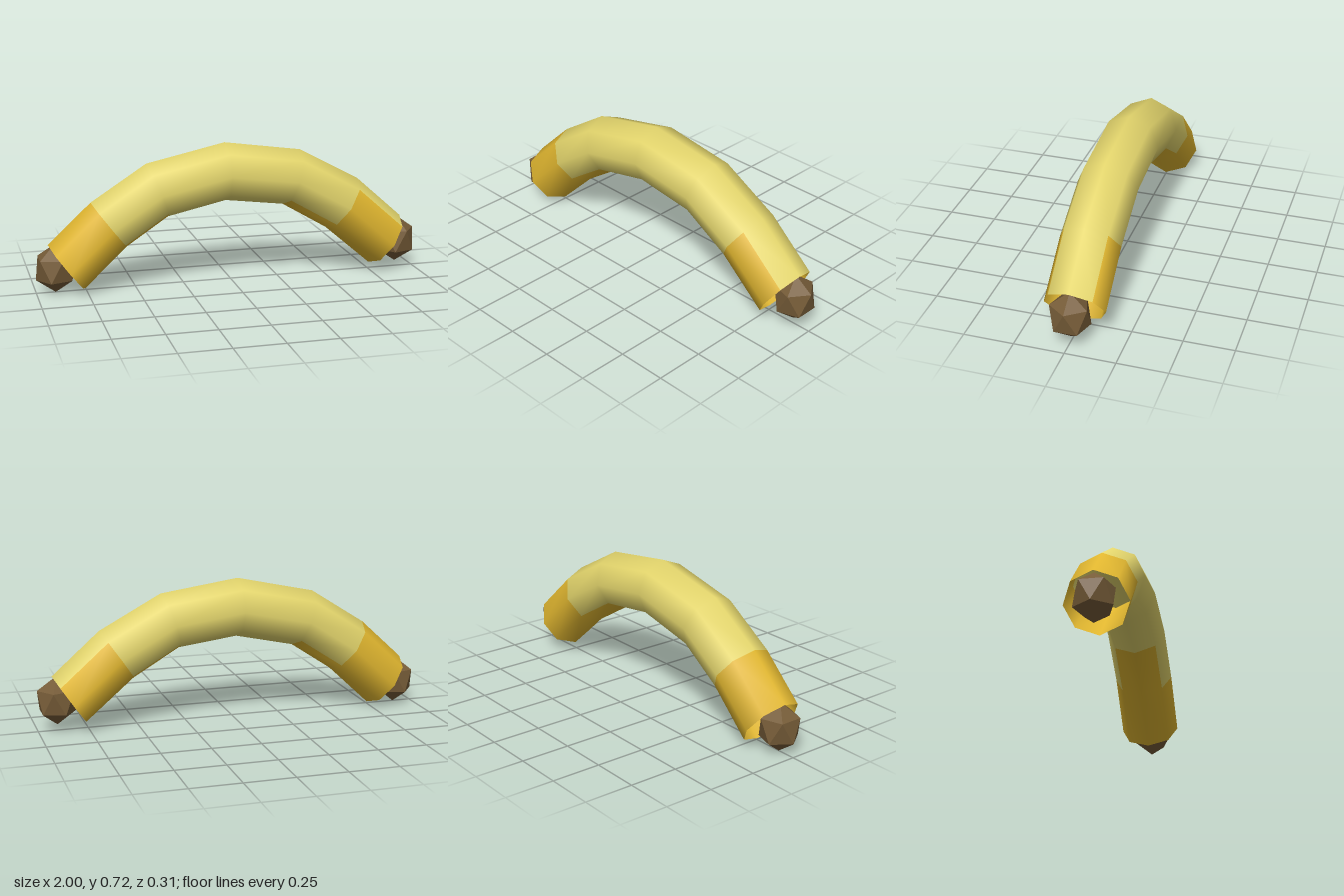
import * as THREE from 'three';
import { ConvexGeometry } from 'three/addons/geometries/ConvexGeometry.js';

const peel = new THREE.MeshStandardMaterial({ color: 0xe3d56c, side: THREE.DoubleSide });
peel.name = 'pale yellow peel';
const ripe = new THREE.MeshStandardMaterial({ color: 0xdfb52f, side: THREE.DoubleSide });
ripe.name = 'golden peel';
const stem = new THREE.MeshStandardMaterial({ color: 0x765c38, flatShading: true });
stem.name = 'brown tip';

// Each ring of the curved body: outer x, y and inner x, y
const RINGS = [
  [-0.935, 0.246, -0.754, 0.008],
  [-0.717, 0.449, -0.537, 0.212],
  [-0.434, 0.631, -0.326, 0.353],
  [-0.031, 0.719, -0.025, 0.419],
  [0.369, 0.662, 0.278, 0.38],
  [0.684, 0.492, 0.513, 0.241],
  [0.925, 0.279, 0.757, 0.032],
];
const SIDES = 8;
const HALF_WIDTH = 0.153;

// Golden faces: both end bands (the right one leaves the top pale) and the underside next to them
function isGolden(segment, side) {
  const fromTop = Math.min(side, SIDES - 1 - side);
  if (segment === 0) return true;
  if (segment === 5) return fromTop > 0;
  return (segment === 1 || segment === 4) && fromTop === 3;
}

// Open eight-sided tube with smooth normals, coloured face by face
function makeBody() {
  const positions = [];
  for (const [ox, oy, ix, iy] of RINGS) {
    for (let j = 0; j < SIDES; j++) {
      const angle = (j / SIDES) * Math.PI * 2;
      const k = (1 + Math.cos(angle)) / 2;
      positions.push(ix + (ox - ix) * k, iy + (oy - iy) * k, HALF_WIDTH * Math.sin(angle));
    }
  }
  const faces = [[], []];
  for (let i = 0; i < RINGS.length - 1; i++) {
    for (let j = 0; j < SIDES; j++) {
      const next = (j + 1) % SIDES;
      const a = i * SIDES + j, c = i * SIDES + next;
      const b = a + SIDES, d = c + SIDES;
      faces[isGolden(i, j) ? 1 : 0].push(a, c, b, b, c, d);
    }
  }
  const geometry = new THREE.BufferGeometry();
  geometry.setAttribute('position', new THREE.Float32BufferAttribute(positions, 3));
  geometry.setIndex([...faces[0], ...faces[1]]);
  geometry.addGroup(0, faces[0].length, 0);
  geometry.addGroup(faces[0].length, faces[1].length, 1);
  geometry.computeVertexNormals();
  const body = new THREE.Mesh(geometry, [peel, ripe]);
  body.name = 'curvedBody';
  return body;
}

// Twenty-sided tip: two poles and two staggered rings of five
function makeTip(name, x, y) {
  const points = [new THREE.Vector3(0, 0.124, 0), new THREE.Vector3(0, -0.124, 0)];
  for (let j = 0; j < 5; j++) {
    const angle = (j / 5) * Math.PI * 2;
    const px = 0.097 * Math.cos(angle), pz = 0.097 * Math.sin(angle);
    points.push(new THREE.Vector3(px, 0.0555, pz), new THREE.Vector3(-px, -0.0555, pz));
  }
  const tip = new THREE.Mesh(new ConvexGeometry(points), stem);
  tip.name = name;
  tip.position.set(x, y, 0);
  return tip;
}

export function createModel() {
  const model = new THREE.Group();
  model.name = 'banana';
  model.add(makeBody(), makeTip('leftTip', 0.903, 0.155), makeTip('rightTip', -0.903, 0.125));
  return model;
}
